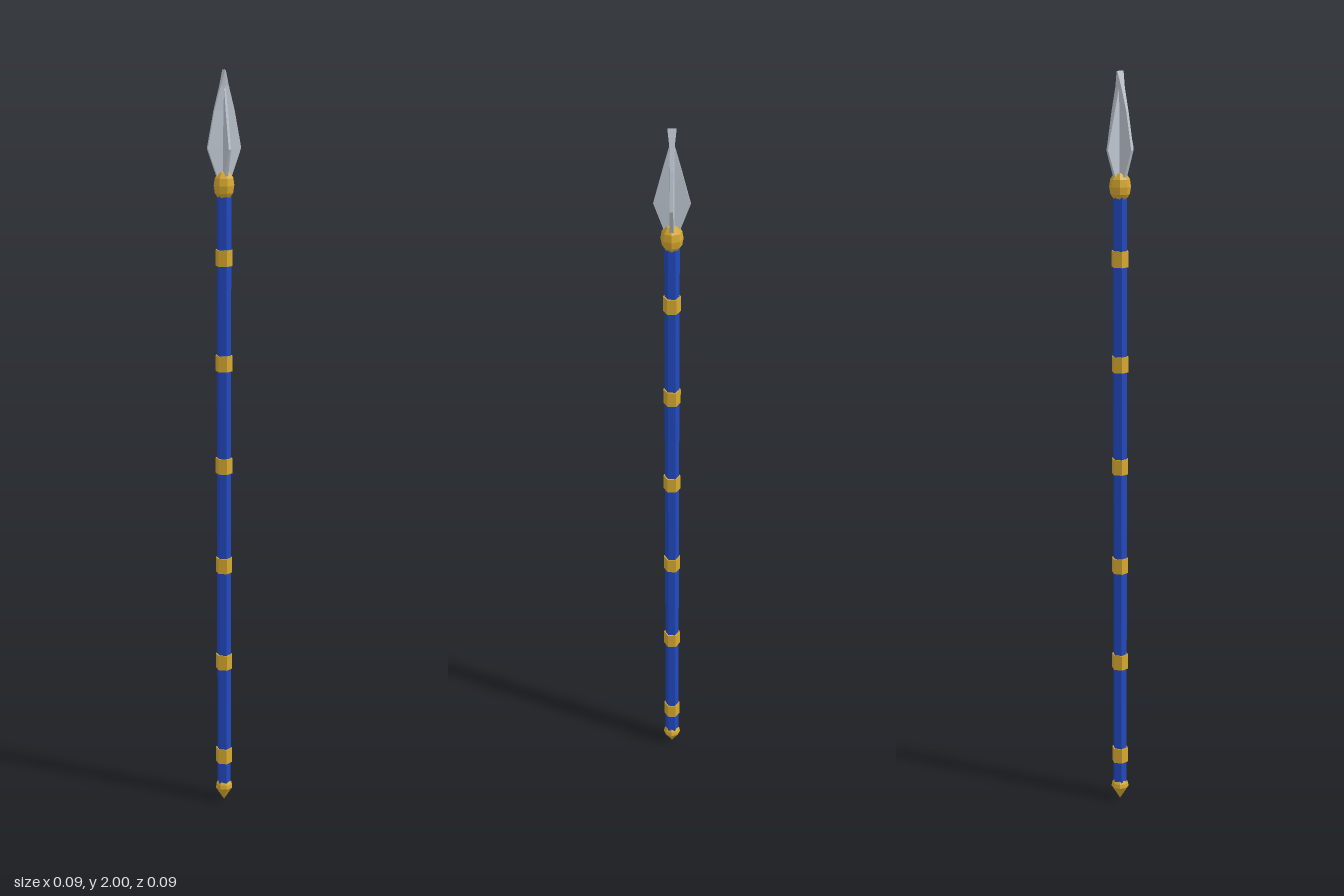
import * as THREE from 'three';

// Stacks hexagonal sections [y, half width, ridge half depth, edge half depth] into a blade
function vaneGeometry(rows) {
  const pos = [], index = [];
  for (const [y, w, t, e] of rows) {
    pos.push(w, y, e, 0, y, t, -w, y, e, -w, y, -e, 0, y, -t, w, y, -e);
  }
  for (let r = 0; r < rows.length - 1; r++) {
    for (let i = 0; i < 6; i++) {
      const a = r * 6 + i, b = r * 6 + (i + 1) % 6;
      index.push(a, b, a + 6, b, b + 6, a + 6);
    }
  }
  const top = (rows.length - 1) * 6;
  for (let i = 1; i < 5; i++) {
    index.push(0, i + 1, i, top, top + i, top + i + 1);
  }
  // Sections run clockwise from above, so the winding is turned to face outward
  for (let i = 0; i < index.length; i += 3) {
    [index[i + 1], index[i + 2]] = [index[i + 2], index[i + 1]];
  }
  const g = new THREE.BufferGeometry();
  g.setAttribute('position', new THREE.Float32BufferAttribute(pos, 3));
  g.setIndex(index);
  const flat = g.toNonIndexed();
  flat.computeVertexNormals();
  return flat;
}

export function createModel() {
  const group = new THREE.Group();
  const material = (name, color) => {
    const m = new THREE.MeshStandardMaterial({ color, flatShading: true, side: THREE.DoubleSide });
    m.name = name;
    return m;
  };
  const steel = material('steel', 0xc0c8d2);
  const gold = material('gold', 0xd8aa30);
  const blue = material('blue', 0x2249c0);

  const add = (name, geometry, mat, y = 0) => {
    const mesh = new THREE.Mesh(geometry, mat);
    mesh.name = name;
    mesh.position.y = y;
    group.add(mesh);
    return mesh;
  };
  const lathe = (points, sides) =>
    new THREE.LatheGeometry(points.map(([r, y]) => new THREE.Vector2(r, y)), sides);

  // Six-sided shaft
  add('shaft', new THREE.CylinderGeometry(0.019, 0.019, 1.65, 6), blue, 0.865);

  // Evenly spaced rings
  for (let i = 0; i < 6; i++) {
    add('ring' + (i + 1), new THREE.CylinderGeometry(0.0225, 0.0225, 0.042, 6), gold, 0.135 + i * 0.278);
  }

  // Pointed butt cap
  add('buttCap', lathe([[0, 0], [0.024, 0.038], [0.022, 0.049], [0.014, 0.062], [0, 0.062]], 8), gold);

  // Faceted collar under the blades
  add('collar', lathe([
    [0, 1.674], [0.015, 1.677], [0.025, 1.692], [0.028, 1.711], [0.025, 1.73], [0.015, 1.745], [0, 1.748],
  ], 8), gold);

  // Wide main blade
  add('mainBlade', vaneGeometry([
    [1.735, 0.02, 0.006, 0.005],
    [1.805, 0.045, 0.006, 0.004],
    [1.9, 0.027, 0.006, 0.004],
    [1.96, 0.011, 0.007, 0.006],
    [2.0, 0.001, 0.011, 0.011],
  ]), steel);

  // Shorter blade crossing it
  add('crossBlade', vaneGeometry([
    [1.735, 0.02, 0.005, 0.004],
    [1.805, 0.045, 0.005, 0.003],
    [1.9, 0.021, 0.004, 0.003],
    [1.965, 0.004, 0.003, 0.002],
  ]), steel).rotation.y = Math.PI / 2;

  return group;
}
